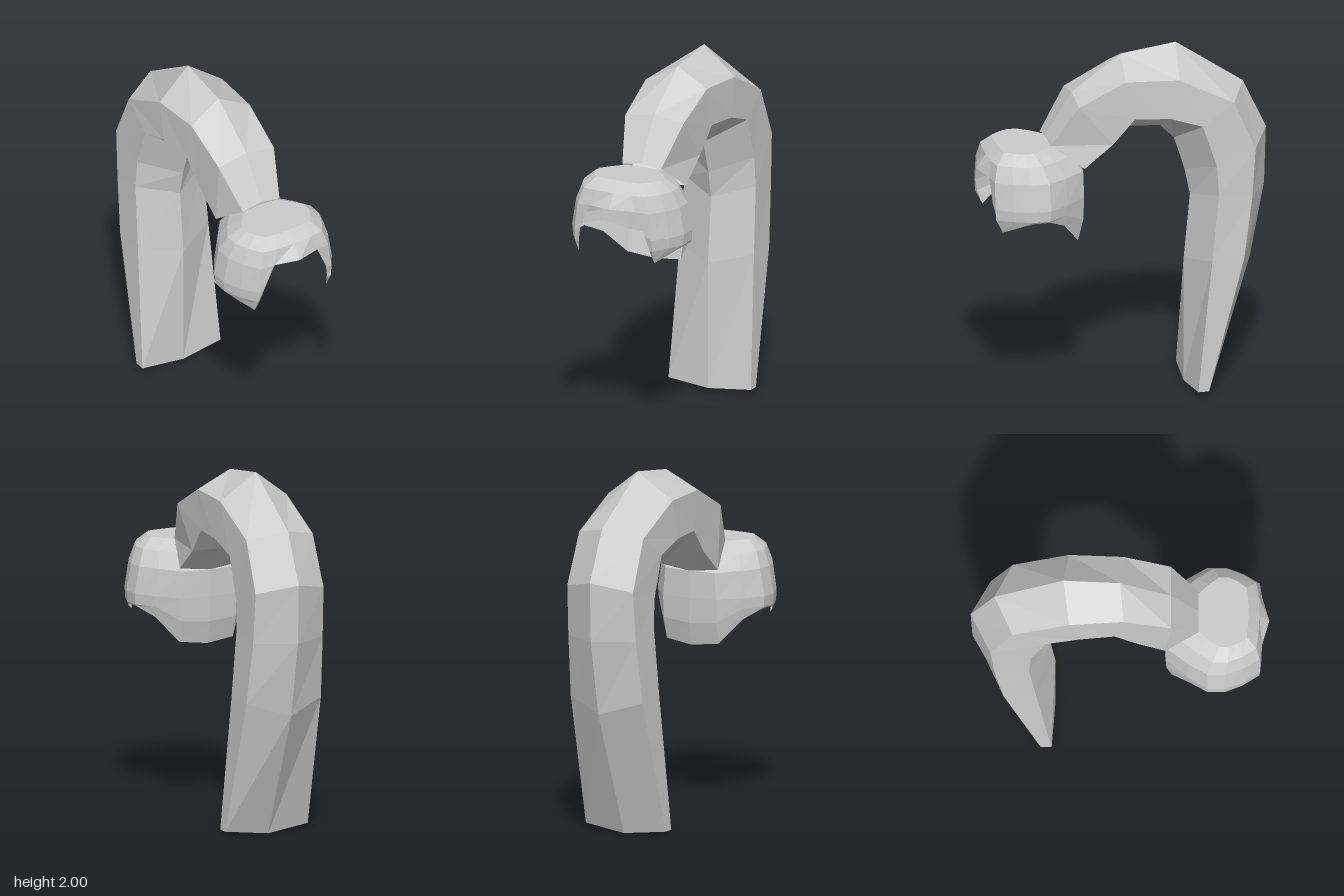
import * as THREE from 'three';

const material = new THREE.MeshStandardMaterial({ color: 0xcccccc, flatShading: true, side: THREE.DoubleSide });

// Faceted skin over closed rings of points; skip(ring, column) leaves gaps
function loft(name, rings, { capStart = false, capEnd = false, skip = () => false } = {}) {
  const pos = [];
  const tri = (...pts) => pts.forEach((p) => pos.push(...p));
  const n = rings[0].length;
  for (let k = 0; k < rings.length - 1; k++) {
    for (let j = 0; j < n; j++) {
      if (skip(k, j)) continue;
      const i = (j + 1) % n;
      const a = rings[k][j], b = rings[k][i], c = rings[k + 1][i], d = rings[k + 1][j];
      tri(a, b, c);
      tri(a, c, d);
    }
  }
  const first = rings[0], last = rings[rings.length - 1];
  for (let j = 1; j < n - 1; j++) {
    if (capStart) tri(first[0], first[j + 1], first[j]);
    if (capEnd) tri(last[0], last[j], last[j + 1]);
  }
  const geo = new THREE.BufferGeometry();
  geo.setAttribute('position', new THREE.Float32BufferAttribute(pos, 3));
  geo.computeVertexNormals();
  const mesh = new THREE.Mesh(geo, material);
  mesh.name = name;
  return mesh;
}

// Curved arm: six-sided sections given as (z, y) of outer ridge, outer corner,
// inner corner and inner ridge, then the half widths of the two corners
function makeArm() {
  const sections = [
    [0.43, 1.52, 0.43, 1.50, 0.25, 1.37, 0.24, 1.35, 0.12, 0.18],
    [0.28, 1.76, 0.28, 1.73, 0.09, 1.50, 0.09, 1.48, 0.18, 0.185],
    [0.00, 1.96, 0.02, 1.86, -0.03, 1.64, -0.05, 1.53, 0.19, 0.195],
    [-0.31, 2.00, -0.28, 1.85, -0.23, 1.63, -0.22, 1.52, 0.205, 0.21],
    [-0.69, 1.74, -0.59, 1.69, -0.41, 1.57, -0.30, 1.44, 0.205, 0.215],
    [-0.82, 1.46, -0.71, 1.41, -0.49, 1.33, -0.36, 1.25, 0.21, 0.215],
    [-0.81, 1.13, -0.69, 1.13, -0.50, 1.16, -0.39, 1.10, 0.215, 0.22],
    [-0.73, 0.71, -0.64, 0.78, -0.46, 0.78, -0.355, 0.73, 0.23, 0.23],
    [-0.455, 0.0, -0.435, 0.03, -0.375, 0.03, -0.355, 0.01, 0.255, 0.255],
  ];
  const rings = sections.map(([oz, oy, az, ay, bz, by, iz, iy, wa, wb]) => [
    [0, oy, oz], [wa, ay, az], [wb, by, bz], [0, iy, iz], [-wb, by, bz], [-wa, ay, az],
  ]);
  return loft('curvedArm', rings, { capEnd: true });
}

// Open hood: one half outline (x, z about the middle), front to back, scaled per level
function makeHood() {
  const outline = [
    [0, 0.28], [0.14, 0.275], [0.24, 0.26], [0.30, 0.17], [0.34, 0.07],
    [0.34, -0.03], [0.27, -0.14], [0.17, -0.26], [0, -0.275],
  ];
  const rim = [1.06, 1.06, 1.06, 1.10, 1.13, 1.13, 1.08, 0.95, 0.93];
  // height, x scale, z scale, middle z
  const levels = [
    [1.495, 0.6, 0.52, 0.56],
    [1.44, 0.8, 0.82, 0.535],
    [1.35, 0.92, 0.99, 0.51],
    [1.20, 1, 1, 0.51],
    [1.13, 0.99, 0.98, 0.51],
    [0, 0.97, 0.85, 0.505],
  ];
  const half = levels.map(([y, sx, sz, cz], k) =>
    outline.map(([x, z], c) => {
      let h = y || rim[c];
      if (k === 4) h = Math.min(1.14, 0.4 * 1.2 + 0.6 * rim[c] + 0.02);
      return [x * sx, h, cz + z * sz];
    }));
  // Pointed brow and the narrowing edges of the front opening
  half[2][0] = [0, 1.36, 0.82];
  half[2][1] = [0.14, 1.355, 0.78];
  half[3][1] = [0.2, 1.22, 0.775];
  half[4][1] = [0.22, 1.13, 0.755];
  half[5][1] = half[5][2].slice();
  const rings = half.map((h) => [
    ...h.map(([x, y, z]) => [-x, y, z]),
    ...h.slice(1, 8).reverse(),
  ]);
  return loft('hood', rings, { capStart: true, skip: (k, j) => k >= 2 && (j === 0 || j === 15) });
}

export function createModel() {
  const group = new THREE.Group();
  group.name = 'hookedArmWithHood';
  group.add(makeArm(), makeHood());
  return group;
}
